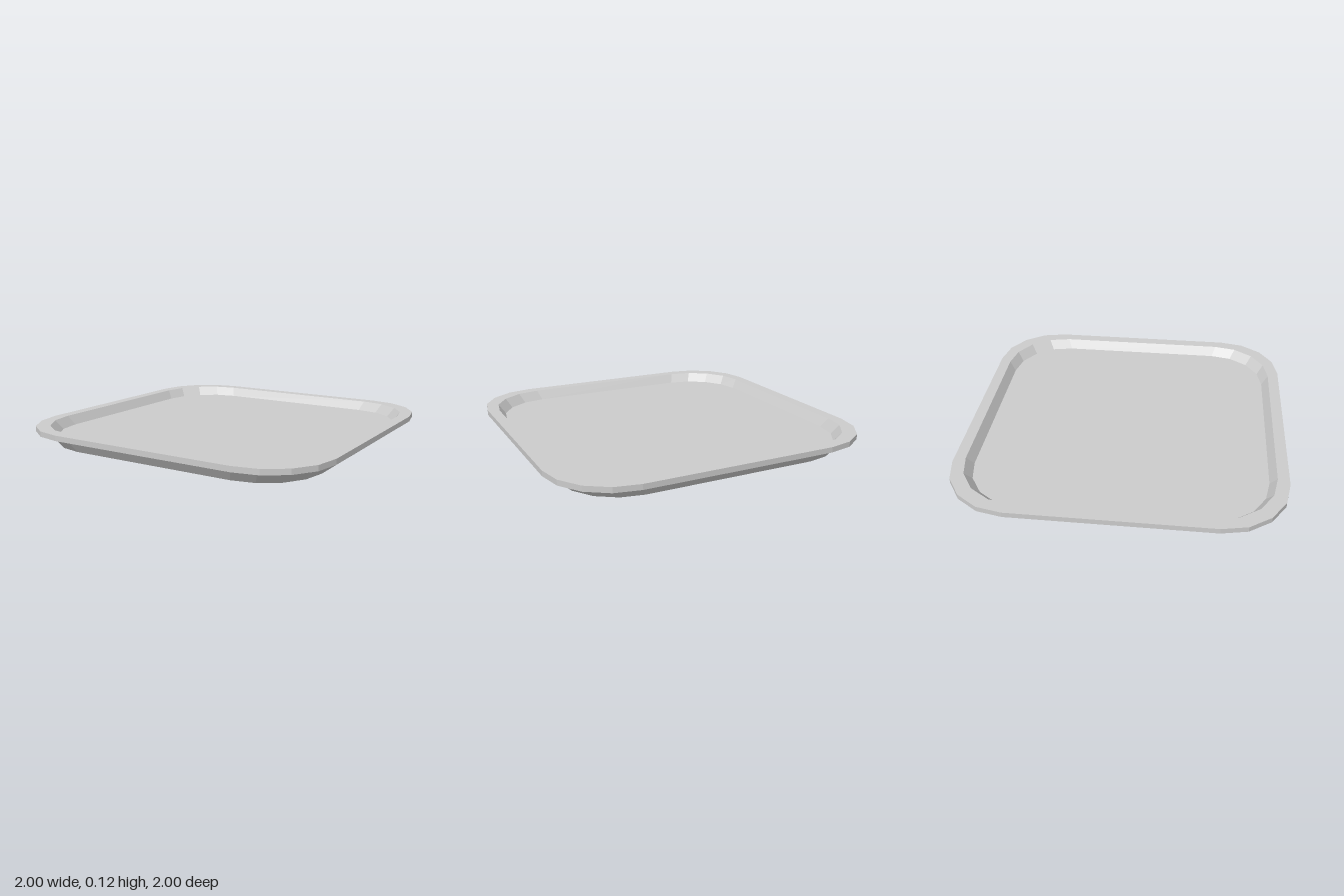
import * as THREE from 'three';

// Rounded-square outline in the ground plane, scaled about the centre
function ring(scale, y) {
  const points = [];
  const straight = 0.6, radius = 0.4, steps = 4;
  for (let corner = 0; corner < 4; corner++) {
    const mid = (corner + 0.5) * Math.PI / 2;
    const cx = Math.sign(Math.cos(mid)) * straight;
    const cz = Math.sign(Math.sin(mid)) * straight;
    for (let i = 0; i <= steps; i++) {
      const a = (corner + i / steps) * Math.PI / 2;
      points.push([(cx + radius * Math.cos(a)) * scale, y, (cz + radius * Math.sin(a)) * scale]);
    }
  }
  return points;
}

// Skin consecutive rings, then flat-shade the faces
function loft(sections) {
  const rings = sections.map(([scale, y]) => ring(scale, y));
  const n = rings[0].length;
  const index = [];
  for (let r = 0; r < rings.length - 1; r++) {
    for (let i = 0; i < n; i++) {
      const a = r * n + i, b = r * n + (i + 1) % n;
      index.push(a, a + n, b, b, a + n, b + n);
    }
  }
  return finish(rings.flat(2), index);
}

// Flat cap filling one ring
function cap(scale, y, up) {
  const points = ring(scale, y);
  const index = [];
  for (let i = 1; i < points.length - 1; i++) {
    index.push(0, up ? i + 1 : i, up ? i : i + 1);
  }
  return finish(points.flat(), index);
}

function finish(positions, index) {
  const indexed = new THREE.BufferGeometry();
  indexed.setAttribute('position', new THREE.Float32BufferAttribute(positions, 3));
  indexed.setIndex(index);
  const geometry = indexed.toNonIndexed();
  geometry.computeVertexNormals();
  return geometry;
}

export function createModel() {
  const group = new THREE.Group();
  group.name = 'tray';
  const material = new THREE.MeshStandardMaterial({ color: 0xcccccc, flatShading: true });
  const add = (name, geometry) => {
    const mesh = new THREE.Mesh(geometry, material);
    mesh.name = name;
    group.add(mesh);
  };

  const base = 0.89, lip = 0.93;
  const floorY = 0.057, rimBottom = 0.082, top = 0.115;

  // Sloped outside wall, flaring out under the rim
  add('outerWall', loft([[base, 0], [lip, floorY], [1, rimBottom]]));
  // Rim edge and its flat top
  add('rim', loft([[1, rimBottom], [1, top], [lip, top]]));
  // Inside wall sloping down to the floor
  add('innerWall', loft([[lip, top], [base, floorY]]));
  add('floor', cap(base, floorY, true));
  add('underside', cap(base, 0, false));

  return group;
}
